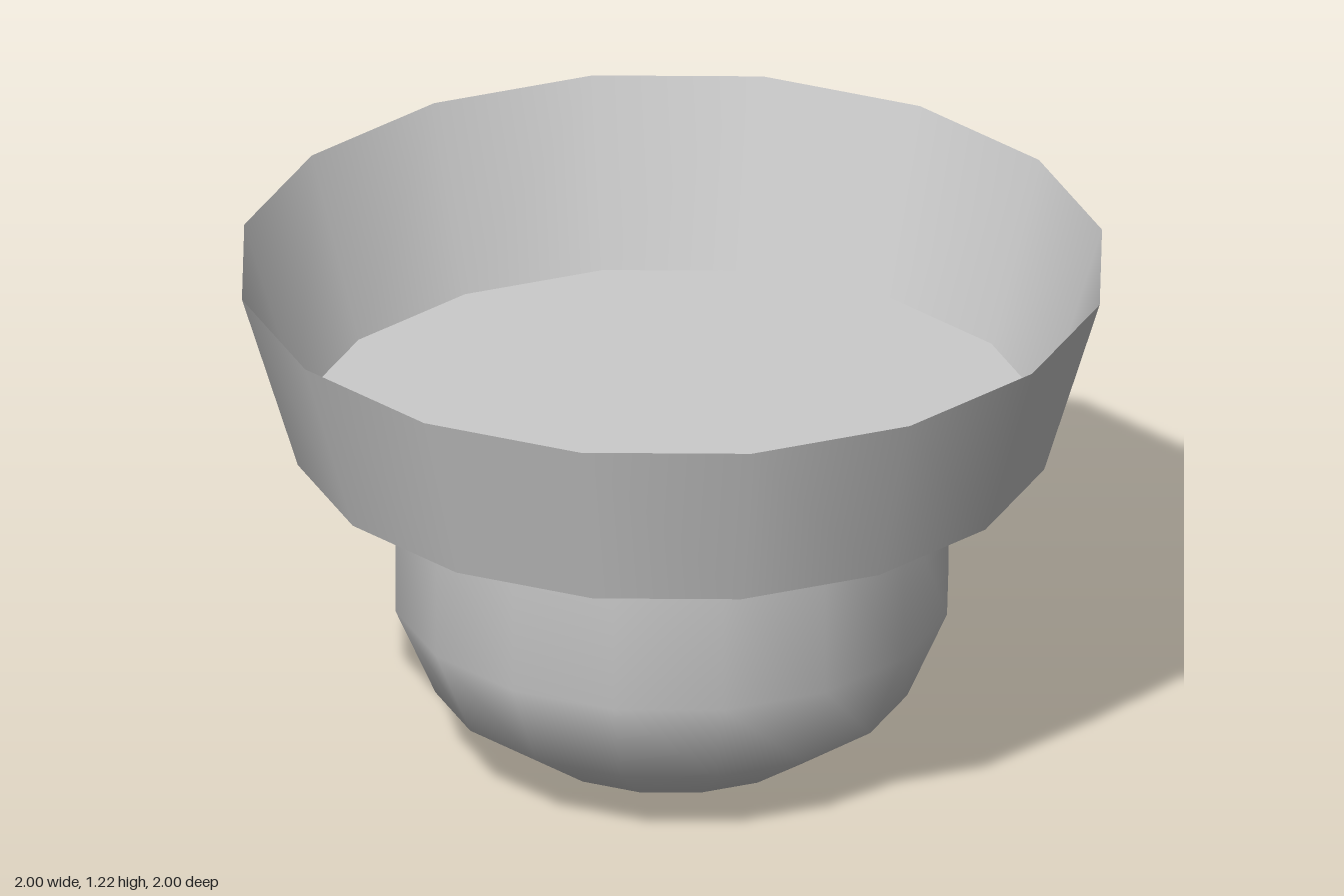
import * as THREE from 'three';

const SIDES = 16;
const FLOOR_Y = 0.785;

export function createModel() {
  const group = new THREE.Group();
  const material = new THREE.MeshStandardMaterial({ color: 0xcccccc, side: THREE.DoubleSide });

  const add = (name, geometry) => {
    const mesh = new THREE.Mesh(geometry, material);
    mesh.name = name;
    group.add(mesh);
    return mesh;
  };
  const lathe = (profile) =>
    new THREE.LatheGeometry(profile.map(([r, y]) => new THREE.Vector2(r, y)), SIDES);

  // Rounded cup with a small flat base, smooth up to the flared collar
  add('roundedCup', lathe([
    [0, 0], [0.085, 0], [0.36, 0.047], [0.55, 0.178], [0.643, 0.393], [0.643, FLOOR_Y],
  ]));

  // Thin flared collar, open at the top
  add('flaredCollar', lathe([[0.87, FLOOR_Y], [1, 1.218]]));

  // Flat floor of the collar, also the ledge seen around the cup
  const floor = add('collarFloor', new THREE.CircleGeometry(0.87, SIDES));
  floor.rotation.x = -Math.PI / 2;
  floor.position.y = FLOOR_Y;

  return group;
}
